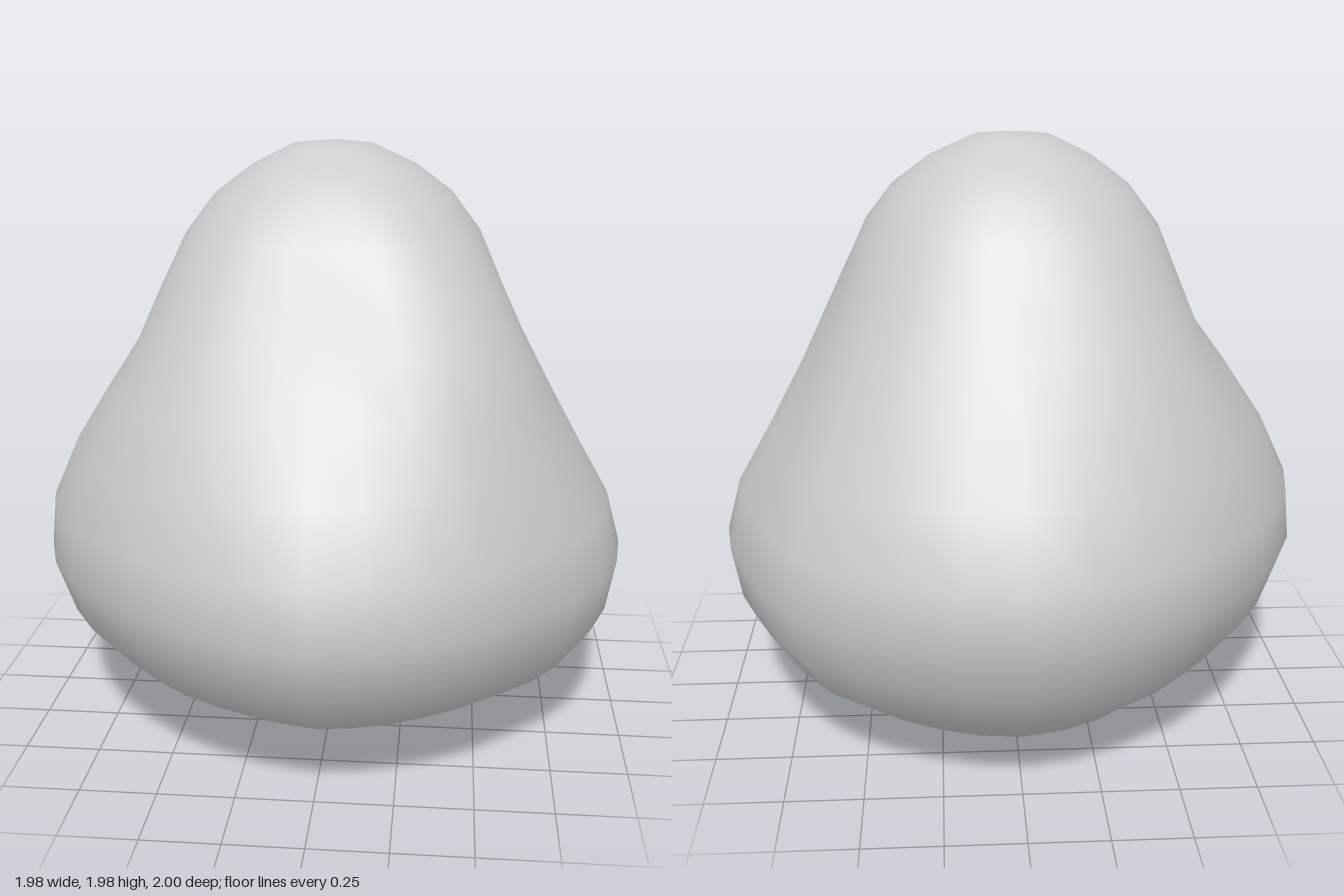
import * as THREE from 'three';
import { mergeVertices } from 'three/addons/utils/BufferGeometryUtils.js';

// Rows from top to base: height, then radius toward left (+x), back (-z), right (-x), front (+z)
const ROWS = [
  [1.98, 0, 0, 0, 0],
  [1.965, 0.13, 0.14, 0.14, 0.14],
  [1.9, 0.27, 0.27, 0.27, 0.27],
  [1.81, 0.39, 0.38, 0.39, 0.38],
  [1.69, 0.48, 0.47, 0.48, 0.46],
  [1.53, 0.55, 0.555, 0.545, 0.535],
  [1.37, 0.625, 0.65, 0.615, 0.615],
  [1.2, 0.715, 0.755, 0.74, 0.72],
  [1.0, 0.825, 0.88, 0.875, 0.855],
  [0.8, 0.94, 0.99, 0.97, 0.97],
  [0.62, 0.99, 1.0, 0.99, 1.0],
  [0.44, 0.96, 0.93, 0.93, 0.94],
  [0.29, 0.86, 0.83, 0.8, 0.8],
  [0.17, 0.68, 0.69, 0.61, 0.6],
  [0.08, 0.44, 0.46, 0.4, 0.4],
  [0.02, 0.2, 0.2, 0.2, 0.2],
  [0, 0, 0, 0, 0],
];

// Uneven outline of the belly, in steps of 22.5 degrees from +x toward -z
const OUTLINE = [1, 0.968, 1.0, 0.99, 1, 0.96, 0.93, 0.95, 1, 0.98, 0.95, 0.958, 1, 0.97, 0.945, 0.982];
// Strength of the rounded ridge down each diagonal, in the same order
const RIDGES = [0.05, 0.12, 0.17, 0.2];

function radiusAt(row, angle) {
  const [y, ...axes] = row;
  const turn = (angle / (Math.PI * 2)) % 1;
  // blend the two nearest axis profiles
  const q = Math.floor(turn * 4 + 1e-6) % 4;
  const t = Math.sin((turn * 4 - q) * Math.PI / 2) ** 2;
  let r = THREE.MathUtils.lerp(axes[q], axes[(q + 1) % 4], t);
  // belly outline fades out toward the top
  const s = turn * 16, i = Math.floor(s + 1e-6) % 16;
  const edge = THREE.MathUtils.lerp(OUTLINE[i], OUTLINE[(i + 1) % 16], s - Math.floor(s + 1e-6));
  r *= THREE.MathUtils.lerp(edge, 1, THREE.MathUtils.smoothstep(y, 0.9, 1.7));
  // ridges make the upper half a rounded square
  const ridge = RIDGES[q] * Math.sin(angle * 2) ** 2 * Math.exp(-(((y - 1.42) / 0.42) ** 2));
  return r * (1 + ridge);
}

export function createModel() {
  const stone = new THREE.MeshStandardMaterial({ color: 0xcccccc });
  stone.name = 'pale grey';

  // Sphere whose rings are reshaped row by row
  const sides = 32;
  const sphere = new THREE.SphereGeometry(1, sides, ROWS.length - 1);
  const pos = sphere.attributes.position;
  for (let v = 0; v < pos.count; v++) {
    const row = ROWS[Math.floor(v / (sides + 1))];
    const angle = Math.PI + ((v % (sides + 1)) % sides) / sides * Math.PI * 2;
    const r = radiusAt(row, angle);
    pos.setXYZ(v, r * Math.cos(angle), row[0], -r * Math.sin(angle));
  }
  // weld the seam so the shading is smooth all round
  sphere.deleteAttribute('uv');
  sphere.deleteAttribute('normal');
  const geometry = mergeVertices(sphere, 1e-4);
  geometry.computeVertexNormals();

  const body = new THREE.Mesh(geometry, stone);
  body.name = 'roundedBoulder';
  const group = new THREE.Group();
  group.name = 'boulder';
  group.add(body);
  return group;
}
